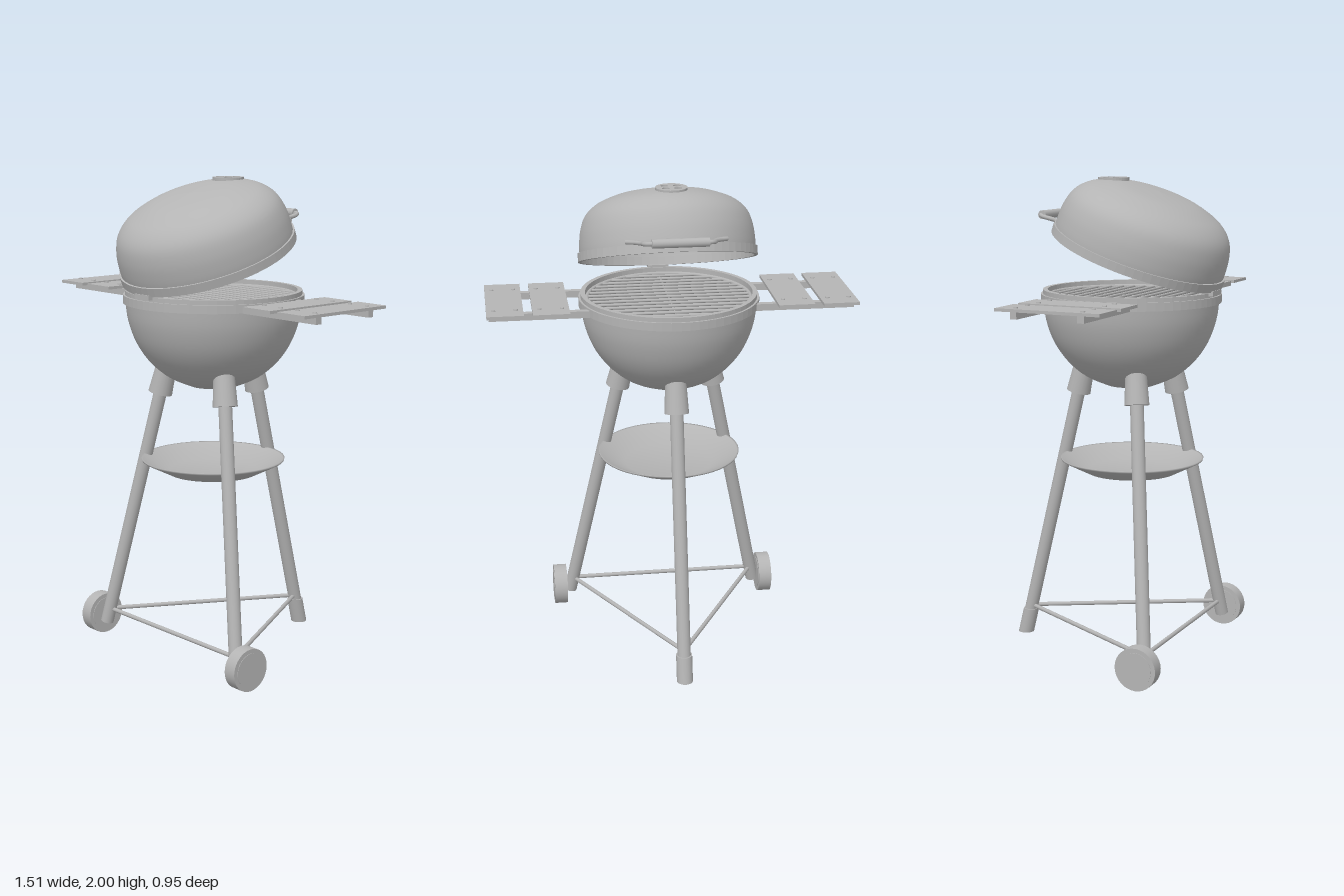
import * as THREE from 'three';

const CZ = 0.07; // bowl axis
const V = (x, y, z) => new THREE.Vector3(x, y, z);

export function createModel() {
  const model = new THREE.Group();
  model.name = 'kettleGrill';
  const grey = new THREE.MeshStandardMaterial({ color: 0xb4b4b4, side: THREE.DoubleSide });
  grey.name = 'plain grey';

  const add = (name, geo, x = 0, y = 0, z = 0, parent = model) => {
    const mesh = new THREE.Mesh(geo, grey);
    mesh.name = name;
    mesh.position.set(x, y, z);
    parent.add(mesh);
    return mesh;
  };
  // Round bar from point a (radius ra) to point b (radius rb)
  const bar = (name, a, b, ra, rb = ra, sides = 20, parent = model) => {
    const mesh = add(name, new THREE.CylinderGeometry(rb, ra, a.distanceTo(b), sides), 0, 0, 0, parent);
    mesh.position.copy(a).lerp(b, 0.5);
    mesh.quaternion.setFromUnitVectors(V(0, 1, 0), b.clone().sub(a).normalize());
    return mesh;
  };
  const lathe = (pts) => new THREE.LatheGeometry(pts.map(([r, y]) => new THREE.Vector2(r, y)), 48);
  const curve = (pts, n) => new THREE.SplineCurve(pts.map(([r, y]) => new THREE.Vector2(r, y)))
    .getPoints(n).map((p) => [Math.max(0, p.x), p.y]);

  // Bowl with a flat base
  add('bowl', lathe([[0, 1.145], ...curve([[0.1, 1.147], [0.19, 1.187], [0.265, 1.25],
    [0.32, 1.33], [0.352, 1.42], [0.363, 1.5]], 20)]), 0, 0, CZ);
  // Rolled rim, stepped in at the top
  add('bowlRim', new THREE.ExtrudeGeometry(ring(0.373, 0.345), { depth: 0.034, bevelEnabled: false, curveSegments: 32 })
    .rotateX(-Math.PI / 2), 0, 1.495, CZ);
  add('bowlLip', new THREE.ExtrudeGeometry(ring(0.364, 0.345), { depth: 0.02, bevelEnabled: false, curveSegments: 32 })
    .rotateX(-Math.PI / 2), 0, 1.527, CZ);

  // Cooking grate
  const grate = new THREE.Group();
  grate.name = 'grate';
  grate.position.set(0, 1.522, CZ);
  model.add(grate);
  add('grateRing', new THREE.TorusGeometry(0.338, 0.008, 8, 48).rotateX(Math.PI / 2), 0, 0, 0, grate);
  for (let i = -7; i <= 7; i++) {
    const z = i * 0.043, h = Math.sqrt(0.338 ** 2 - z * z);
    bar('grateBar', V(-h, 0, z), V(h, 0, z), 0.006, 0.006, 8, grate);
  }
  bar('grateCrossBar', V(0, -0.008, -0.335), V(0, -0.008, 0.335), 0.006, 0.006, 8, grate);

  // Tilted lid, open underneath
  const lid = new THREE.Group();
  lid.name = 'lid';
  lid.position.set(0, 1.675, 0.097);
  lid.rotation.x = THREE.MathUtils.degToRad(20);
  model.add(lid);
  add('lidDome', lathe(curve([[0.361, 0.02], [0.362, 0.06], [0.356, 0.12], [0.337, 0.178],
    [0.3, 0.22], [0.245, 0.25], [0.15, 0.277], [0, 0.287]], 30)), 0, 0, 0, lid);
  add('lidFlange', new THREE.ExtrudeGeometry(ring(0.369, 0.355), { depth: 0.036, bevelEnabled: false, curveSegments: 32 })
    .rotateX(-Math.PI / 2), 0, 0, 0, lid);

  // Lid handle on two bent wires
  bar('handleGrip', V(-0.112, 0.03, -0.417), V(0.112, 0.03, -0.417), 0.018, 0.018, 16, lid);
  for (const s of [-1, 1]) {
    const path = new THREE.CatmullRomCurve3([V(s * 0.2, 0.05, -0.302), V(s * 0.165, 0.045, -0.326),
      V(s * 0.143, 0.038, -0.355), V(s * 0.138, 0.032, -0.395), V(s * 0.125, 0.03, -0.414), V(s * 0.1, 0.03, -0.417)]);
    add('handleWire', new THREE.TubeGeometry(path, 24, 0.009, 8), 0, 0, 0, lid);
  }

  // Four-hole vent, level on top of the lid
  const disc = new THREE.Shape().absarc(0, 0, 0.065, 0, Math.PI * 2);
  for (const x of [-0.025, 0.025]) for (const y of [-0.022, 0.022]) {
    disc.holes.push(new THREE.Path().absarc(x, y, 0.015, 0, Math.PI * 2));
  }
  add('vent', new THREE.ExtrudeGeometry(disc, { depth: 0.014, bevelEnabled: false, curveSegments: 16 })
    .rotateX(-Math.PI / 2), 0, 1.986, -0.01);

  // Hinge at the front
  add('hinge', new THREE.BoxGeometry(0.09, 0.02, 0.03), 0, 1.546, 0.435);

  // Legs with sockets; front pair on wheels, rear one on a foot
  const frontAt = (y, s) => V(s * (0.435 - 0.209 * y), y, 0.333 - 0.13 * y);
  const rearAt = (y) => V(0, y, -0.44 + 0.241 * y);
  for (const s of [-1, 1]) {
    bar('frontLeg', frontAt(0.065, s), frontAt(1.2, s), 0.028);
    bar('frontSocket', frontAt(1.1, s), frontAt(1.235, s), 0.051, 0.043);
    const wheel = add('wheel', new THREE.CylinderGeometry(0.088, 0.088, 0.056, 32).rotateZ(Math.PI / 2),
      s * 0.468, 0.095, 0.316);
    add('hub', new THREE.CylinderGeometry(0.07, 0.07, 0.06, 32).rotateZ(Math.PI / 2), 0, 0, 0, wheel);
    bar('axle', V(s * 0.4, 0.095, 0.316), V(s * 0.46, 0.095, 0.316), 0.012);
    bar('sideBrace', frontAt(0.125, s), rearAt(0.125), 0.009, 0.009, 10);
  }
  bar('frontBrace', frontAt(0.125, -1), frontAt(0.125, 1), 0.009, 0.009, 10);
  bar('rearLeg', rearAt(0.05), rearAt(1.2), 0.028);
  bar('rearSocket', rearAt(1.1), rearAt(1.235), 0.051, 0.043);
  // Foot leans with the leg but sits flat on the ground
  const foot = new THREE.CylinderGeometry(0.034, 0.034, 0.11, 20).translate(0, 0.055, 0);
  foot.applyMatrix4(new THREE.Matrix4().set(1, 0, 0, 0, 0, 1, 0, 0, 0, 0.241, 1, -0.44, 0, 0, 0, 1));
  add('rearFoot', foot);

  // Shallow ash tray between the legs
  add('ashTray', lathe([[0, 0.778], [0.19, 0.778], [0.298, 0.832], [0.3, 0.84], [0.293, 0.838],
    [0.187, 0.785], [0, 0.785]]), 0, 0, CZ + 0.005);

  // Slatted side shelves
  for (const s of [-1, 1]) {
    const shelf = new THREE.Group();
    shelf.name = s > 0 ? 'leftShelf' : 'rightShelf';
    model.add(shelf);
    const railZ = [-0.074, 0.208];
    for (const z of railZ) {
      add('shelfRail', new THREE.BoxGeometry(0.405, 0.028, 0.027), s * 0.542, 1.509, z, shelf);
    }
    for (const x of [0.495, 0.679]) {
      add('shelfSlat', new THREE.BoxGeometry(0.148, 0.012, 0.44), s * x, 1.529, CZ, shelf);
      for (const dx of [-0.045, 0.045]) for (const z of railZ) {
        add('bolt', new THREE.CylinderGeometry(0.008, 0.009, 0.006, 10), s * x + dx, 1.537, z, shelf);
      }
    }
  }
  return model;
}

// Flat ring outline
function ring(outer, inner) {
  const shape = new THREE.Shape().absarc(0, 0, outer, 0, Math.PI * 2);
  shape.holes.push(new THREE.Path().absarc(0, 0, inner, 0, Math.PI * 2));
  return shape;
}
